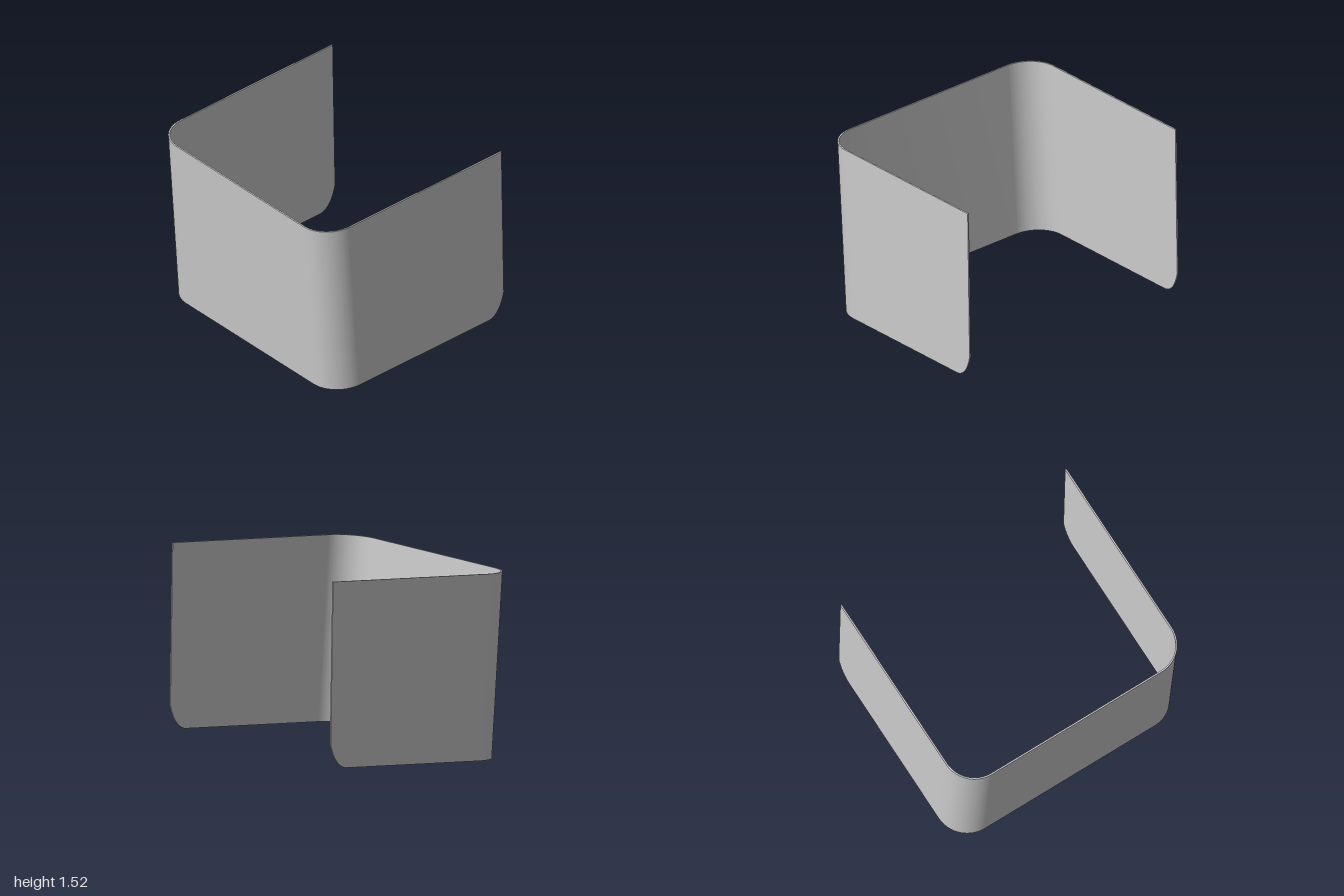
import * as THREE from 'three';
import { toCreasedNormals } from 'three/addons/utils/BufferGeometryUtils.js';

const HEIGHT = 1.408, RADIUS = 0.25, THICK = 0.012, TILT = 0.0706;

export function createModel() {
  const model = new THREE.Group();
  model.name = 'bentSheet';
  const material = new THREE.MeshStandardMaterial({ color: 0xcccccc });

  // Sheet leans forward about its lower front edge
  const sheet = new THREE.Group();
  sheet.name = 'tiltedSheet';
  sheet.rotation.x = TILT;
  sheet.position.set(0, 0.001, 0.764);
  model.add(sheet);

  const addPart = (name, shape, depth) => {
    const geometry = new THREE.ExtrudeGeometry(shape, { depth, bevelEnabled: false, curveSegments: 24 });
    const mesh = new THREE.Mesh(toCreasedNormals(geometry, 0.5), material);
    mesh.name = name;
    sheet.add(mesh);
    return mesh;
  };

  // Front panel with both rounded corners: a thin U seen from above
  const c = 1 - RADIUS, inner = RADIUS - THICK;
  const bend = new THREE.Shape();
  bend.moveTo(-1, RADIUS);
  bend.absarc(-c, RADIUS, RADIUS, Math.PI, 1.5 * Math.PI, false);
  bend.absarc(c, RADIUS, RADIUS, 1.5 * Math.PI, 2 * Math.PI, false);
  bend.lineTo(1 - THICK, RADIUS);
  bend.absarc(c, RADIUS, inner, 2 * Math.PI, 1.5 * Math.PI, true);
  bend.absarc(-c, RADIUS, inner, 1.5 * Math.PI, Math.PI, true);
  bend.closePath();
  addPart('frontPanel', bend, HEIGHT).rotation.x = -Math.PI / 2;

  // Side panels: slanted rear edge and rounded lower rear corner
  const side = new THREE.Shape();
  side.moveTo(RADIUS, 0);
  side.lineTo(1.489, 0);
  side.quadraticCurveTo(1.59, 0.015, 1.64, 0.185);
  side.lineTo(1.704, HEIGHT);
  side.lineTo(RADIUS, HEIGHT);
  side.closePath();
  for (const [name, x] of [['leftPanel', 1 - THICK], ['rightPanel', -1]]) {
    const panel = addPart(name, side, THICK);
    panel.rotation.y = Math.PI / 2;
    panel.position.x = x;
  }
  return model;
}
